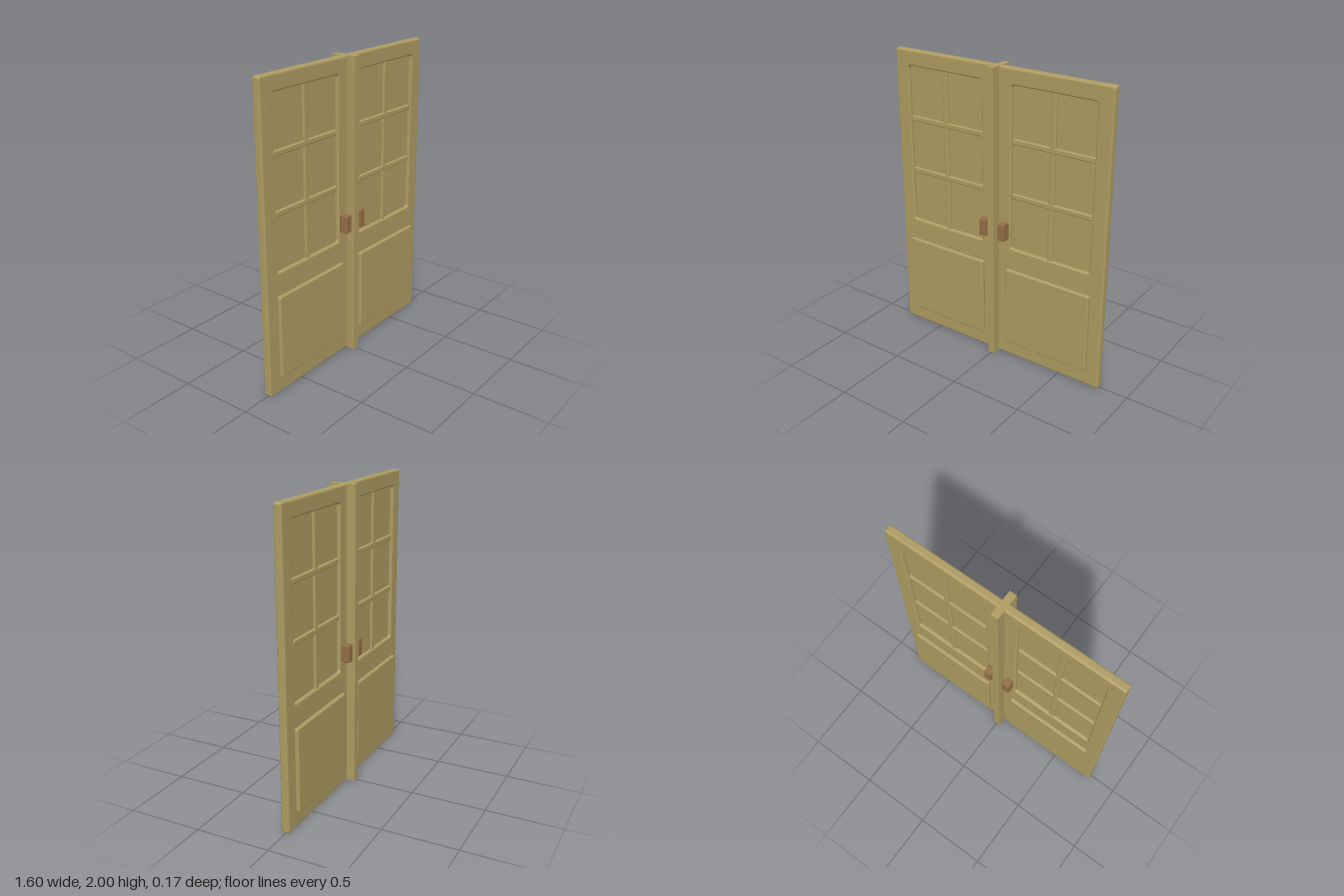
import * as THREE from 'three';
import { RoundedBoxGeometry } from 'three/addons/geometries/RoundedBoxGeometry.js';

const wood = new THREE.MeshStandardMaterial({ color: 0xad9b61 });
wood.name = 'wood';
const handleBrown = new THREE.MeshStandardMaterial({ color: 0x946e45 });
handleBrown.name = 'handle brown';

// Adds a named mesh spanning the given ranges; radius > 0 rounds its edges
function block(parent, name, [x0, x1], [y0, y1], [z0, z1], radius = 0, material = wood, segments = 2) {
  const size = [x1 - x0, y1 - y0, z1 - z0];
  const geometry = radius
    ? new RoundedBoxGeometry(...size, segments, radius)
    : new THREE.BoxGeometry(...size);
  const mesh = new THREE.Mesh(geometry, material);
  mesh.name = name;
  mesh.position.set((x0 + x1) / 2, (y0 + y1) / 2, (z0 + z1) / 2);
  parent.add(mesh);
  return mesh;
}

// Rounded rectangle outline, used for the door edge and the window opening
function roundedRect(path, x0, x1, y0, y1, r) {
  path.moveTo(x0 + r, y0);
  path.lineTo(x1 - r, y0);
  path.quadraticCurveTo(x1, y0, x1, y0 + r);
  path.lineTo(x1, y1 - r);
  path.quadraticCurveTo(x1, y1, x1 - r, y1);
  path.lineTo(x0 + r, y1);
  path.quadraticCurveTo(x0, y1, x0, y1 - r);
  path.lineTo(x0, y0 + r);
  path.quadraticCurveTo(x0, y0, x0 + r, y0);
  return path;
}

// Bevelled door slab with a window opening
function doorFrameGeometry(mirror) {
  const bevel = 0.012;
  const half = 0.027;
  const span = (a, b) => (mirror > 0 ? [a, b] : [-b, -a]);
  const shape = roundedRect(new THREE.Shape(), ...span(bevel, 0.8 - bevel), bevel, 2 - bevel, 0.004);
  shape.holes.push(roundedRect(new THREE.Path(), ...span(0.112 - bevel, 0.696 + bevel), 0.81 - bevel, 1.895 + bevel, 0.028));
  const geometry = new THREE.ExtrudeGeometry(shape, {
    depth: 2 * (half - bevel), bevelEnabled: true, bevelSize: bevel,
    bevelThickness: bevel, bevelSegments: 3, curveSegments: 4,
  });
  return geometry.translate(0, 0, bevel - half);
}

function createDoor(side) {
  const door = new THREE.Group();
  door.name = side > 0 ? 'leftDoor' : 'rightDoor';
  const span = (a, b) => (side > 0 ? [a, b] : [-b, -a]);

  const frame = new THREE.Mesh(doorFrameGeometry(side), wood);
  frame.name = 'doorFrame';
  door.add(frame);

  // Window pane with one upright bar and two crossbars
  block(door, 'windowPane', span(0.1, 0.71), [0.8, 1.905], [-0.004, 0.004]);
  block(door, 'uprightBar', span(0.386, 0.425), [0.805, 1.9], [-0.02, 0.02], 0.008);
  for (const y of [1.177, 1.542]) {
    block(door, 'crossBar', span(0.115, 0.693), [y - 0.018, y + 0.018], [-0.021, 0.021], 0.008);
  }

  // Raised lower panel and handle on each face
  for (const face of [-1, 1]) {
    const depth = (a, b) => (face > 0 ? [a, b] : [-b, -a]);
    block(door, 'lowerPanel', span(0.092, 0.717), [0.112, 0.665], depth(0.026, 0.056), 0.01);
    block(door, 'handle', span(0.046, 0.098), [0.875, 0.992], depth(0.026, 0.083), 0.006, handleBrown, 1);
  }
  return door;
}

export function createModel() {
  const model = new THREE.Group();
  model.name = 'doubleDoor';
  for (const side of [-1, 1]) model.add(createDoor(side));
  // Post covering the joint between the doors
  block(model, 'centrePost', [-0.025, 0.023], [0, 2], [-0.087, 0.087]);
  return model;
}
